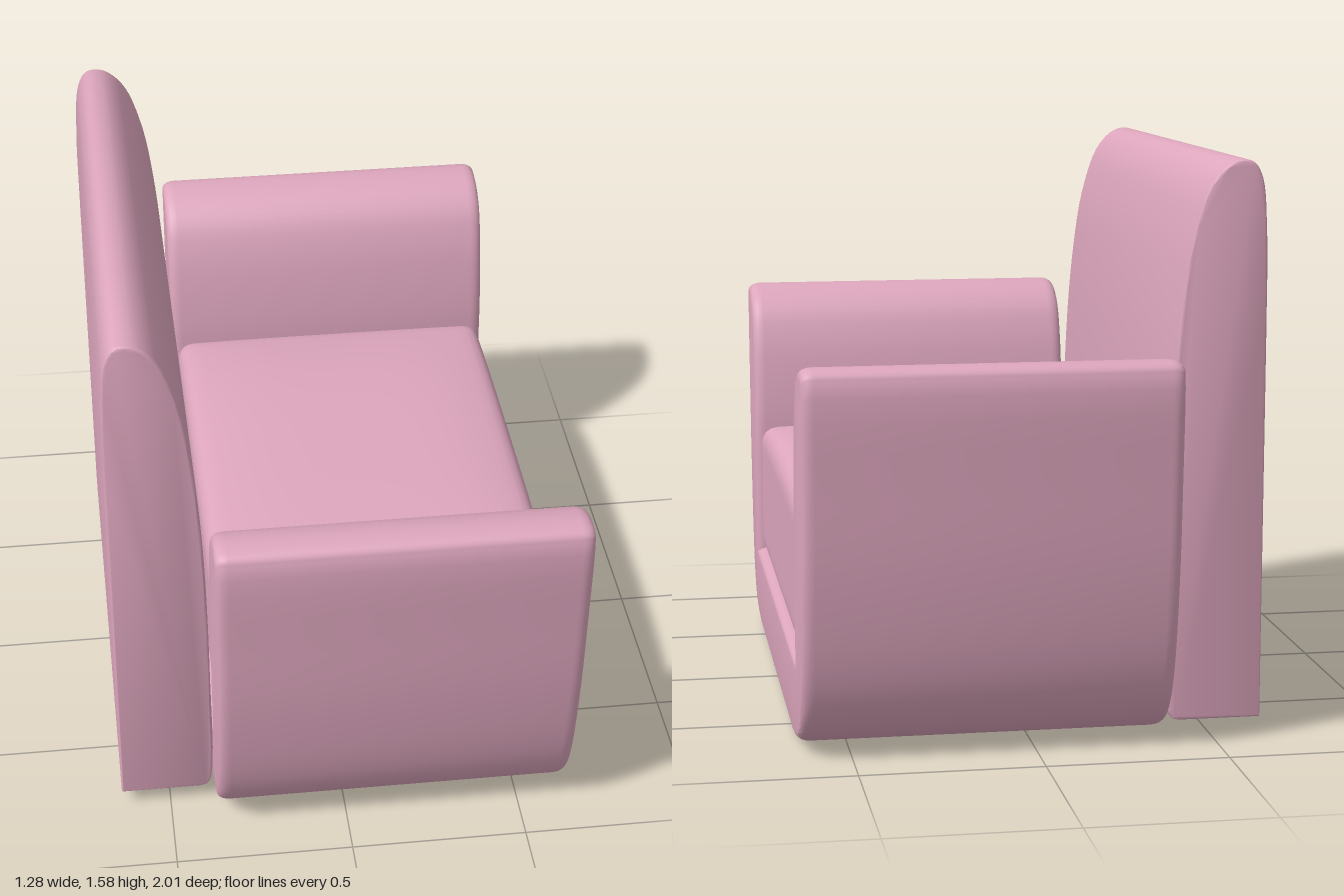
import * as THREE from 'three';
import { mergeVertices, toCreasedNormals } from 'three/addons/utils/BufferGeometryUtils.js';

const fabric = new THREE.MeshStandardMaterial({ color: 0xdda6bd });

// Smooth 2D outline through a few points
function smooth(points, count) {
  const curve = new THREE.CatmullRomCurve3(points.map(([x, y]) => new THREE.Vector3(x, y, 0)));
  return curve.getPoints(count).map((p) => new THREE.Vector2(p.x, p.y));
}

// Extrusion from z = 0 to z = length with softened end edges inside the outline
function softExtrude(outline, length, thickness, size) {
  const geometry = new THREE.ExtrudeGeometry(new THREE.Shape(outline), {
    depth: length - 2 * thickness,
    bevelThickness: thickness,
    bevelSize: size,
    bevelOffset: -size,
    bevelSegments: 5,
  });
  geometry.translate(0, 0, thickness);
  return toCreasedNormals(geometry, 0.6);
}

function addPart(group, name, geometry) {
  const mesh = new THREE.Mesh(geometry, fabric);
  mesh.name = name;
  group.add(mesh);
}

// U-shaped section: base and both arms in one sweep
function armsAndBase() {
  const half = [
    ...smooth([
      [0.6, 0], [0.72, 0.017], [0.81, 0.05], [0.87, 0.11], [0.92, 0.22], [0.967, 0.47],
      [0.99, 0.75], [1, 1.04], [0.985, 1.066], [0.93, 1.074], [0.86, 1.055], [0.8, 1.005],
      [0.76, 0.92], [0.735, 0.82], [0.715, 0.68], [0.71, 0.55],
    ], 64),
    new THREE.Vector2(0.71, 0.235),
  ];
  const mirrored = half.map((p) => new THREE.Vector2(-p.x, p.y)).reverse();
  const geometry = softExtrude([...half, ...mirrored], 1.01, 0.035, 0.022);
  geometry.rotateY(-Math.PI / 2);
  return geometry.translate(0.64, 0, 0);
}

// Tall back with a rounded crest, flat behind
function backrest() {
  const outline = [
    new THREE.Vector2(-0.64, 0.045),
    new THREE.Vector2(-0.41, 0.045),
    ...smooth([
      [-0.392, 0.05], [-0.38, 0.075], [-0.375, 0.47], [-0.383, 0.89], [-0.404, 1.18],
      [-0.437, 1.39], [-0.487, 1.527], [-0.545, 1.58], [-0.595, 1.58], [-0.622, 1.54],
      [-0.637, 1.39], [-0.64, 1.1],
    ], 56),
  ];
  return softExtrude(outline, 1.54, 0.01, 0.008).translate(0, 0, -0.79);
}

// Rounded box whose top swells towards the middle
function cushion() {
  const half = new THREE.Vector3(0.49, 0.2, 0.71);
  const radius = 0.05;
  const inner = half.clone().subScalar(radius);
  const box = new THREE.BoxGeometry(2, 2, 2, 28, 20, 28);
  box.deleteAttribute('uv');
  box.deleteAttribute('normal');
  const geometry = mergeVertices(box);
  const position = geometry.attributes.position;
  const p = new THREE.Vector3();
  const core = new THREE.Vector3();
  const ease = (t) => Math.sin((t * Math.PI) / 2);
  for (let i = 0; i < position.count; i++) {
    p.fromBufferAttribute(position, i);
    p.set(ease(p.x), ease(p.y), ease(p.z)).multiply(half);
    core.copy(p).clamp(inner.clone().negate(), inner);
    p.sub(core).setLength(radius).add(core);
    const u = Math.abs(p.x / half.x);
    const w = Math.abs(p.z / half.z);
    const rise = Math.max(0, p.y / half.y);
    p.y += 0.06 * rise * (1 - w ** 3) * (1 - 0.6 * u ** 4);
    position.setXYZ(i, p.x, p.y, p.z);
  }
  geometry.translate(0.135, 0.435, 0);
  geometry.computeVertexNormals();
  return geometry;
}

export function createModel() {
  const group = new THREE.Group();
  group.name = 'armchair';
  addPart(group, 'armsAndBase', armsAndBase());
  addPart(group, 'backrest', backrest());
  addPart(group, 'seatCushion', cushion());
  return group;
}
